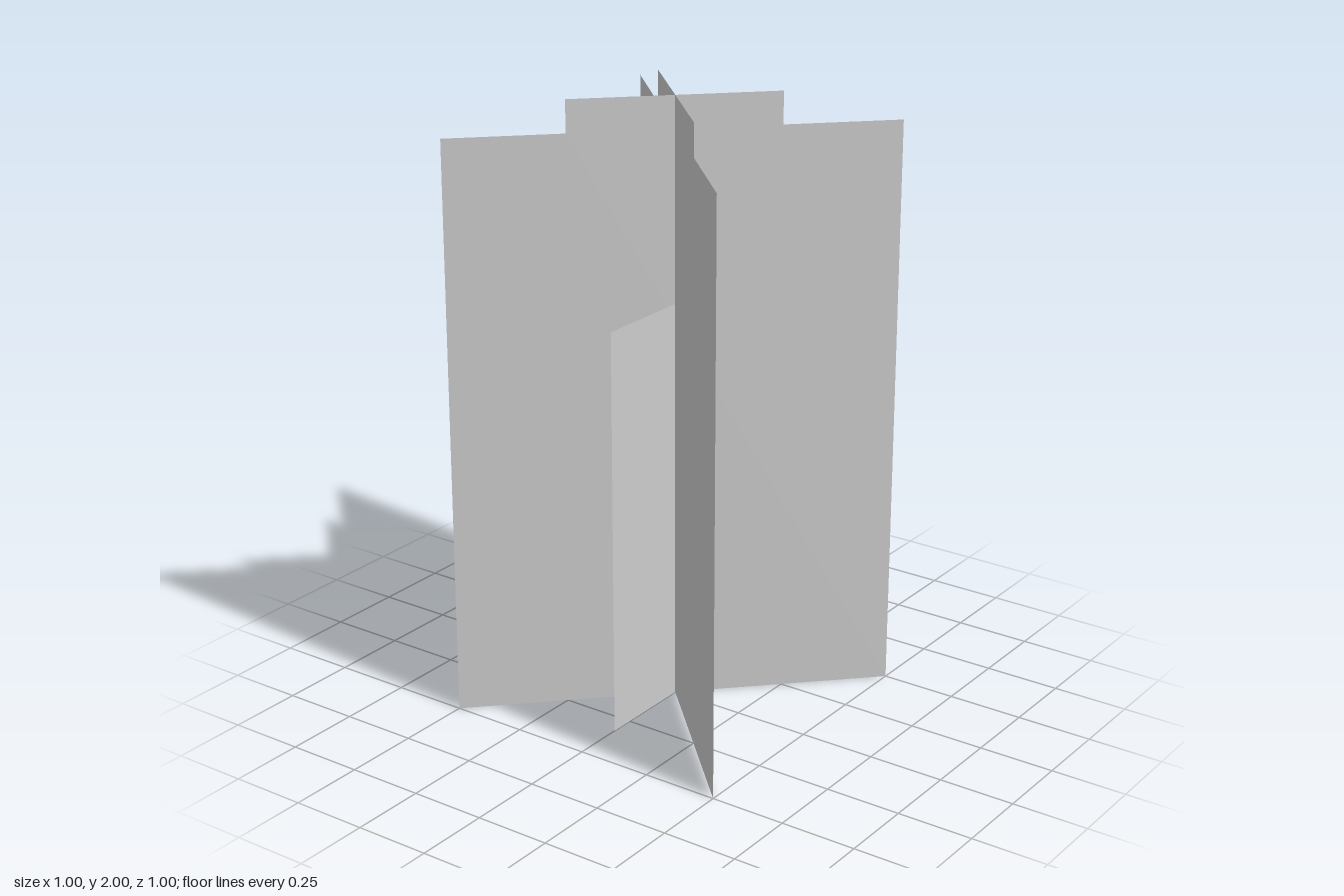
import * as THREE from 'three';

const material = new THREE.MeshStandardMaterial({ color: 0xcccccc, side: THREE.DoubleSide, flatShading: true });

// Flat upright sheet with an outline mirrored about its vertical centre line
function sheet(name, rightSide, angle) {
  const leftSide = rightSide.map(([x, y]) => [-x, y]).reverse();
  const outline = [...rightSide, ...leftSide].map(([x, y]) => new THREE.Vector2(x, y));
  const mesh = new THREE.Mesh(new THREE.ShapeGeometry(new THREE.Shape(outline)), material);
  mesh.name = name;
  mesh.rotation.y = angle;
  return mesh;
}

export function createModel() {
  const group = new THREE.Group();
  group.name = 'crossedSheets';

  // Two tall stepped sheets crossing on the diagonals
  const half = 0.5 * Math.SQRT2;
  const step = 0.235 * Math.SQRT2;
  const stepped = [[half, 0], [half, 1.895], [step, 1.895], [step, 2]];
  group.add(sheet('diagonalSheetA', stepped, Math.PI / 4));
  group.add(sheet('diagonalSheetB', stepped, -Math.PI / 4));

  // Shorter sheet running side to side through the crossing
  group.add(sheet('shortCentreSheet', [[0.33, 0], [0.33, 1.34]], 0));

  return group;
}
